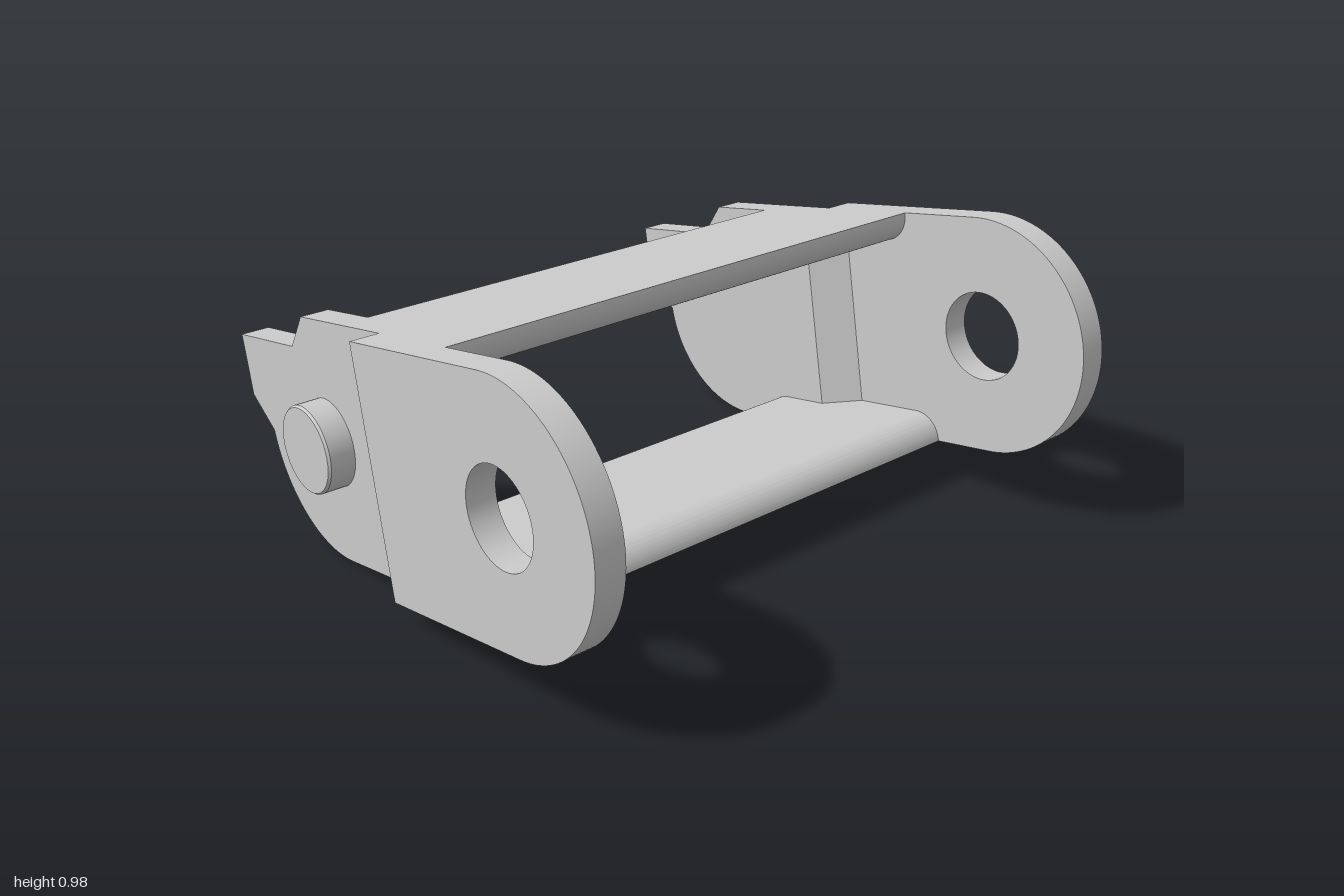
import * as THREE from 'three';
import { toCreasedNormals } from 'three/addons/utils/BufferGeometryUtils.js';

const R = 0.392;        // end radius of the side plates
const T = 0.095;        // plate thickness
const X = 0.905;        // joint plane between inner and outer plates
const SPAN = 1.048;     // distance between pin and hole centres
const TILT = Math.atan2(0.195, 1.03);

const material = new THREE.MeshStandardMaterial({ color: 0xcccccc });

// Extrude a (z, y) outline along x, between x0 and x1
function extrudeX(shape, x0, x1) {
  const geo = new THREE.ExtrudeGeometry(shape, { depth: x1 - x0, bevelEnabled: false, curveSegments: 32 });
  return geo.rotateY(-Math.PI / 2).translate(x1, 0, 0);
}

function part(name, geo) {
  const mesh = new THREE.Mesh(toCreasedNormals(geo, 0.5), material);
  mesh.name = name;
  return mesh;
}

// Front lug with the pin hole
function outerPlateShape() {
  const s = new THREE.Shape();
  s.moveTo(0.415, -R);
  s.lineTo(SPAN, -R);
  s.absarc(SPAN, 0, R, -Math.PI / 2, Math.PI / 2, false);
  s.lineTo(0.415, R);
  s.closePath();
  const hole = new THREE.Path();
  hole.absarc(SPAN, 0, 0.147, 0, Math.PI * 2, true);
  s.holes.push(hole);
  return s;
}

// Rear lug with the notched stop
function innerPlateShape() {
  const s = new THREE.Shape();
  s.moveTo(0.49, -R);
  s.lineTo(0.49, R);
  s.lineTo(-0.054, R);
  s.lineTo(-0.149, 0.288);
  s.lineTo(-0.5, 0.288);
  s.lineTo(-0.498, 0.084);
  s.lineTo(-0.391, -0.023);
  s.absarc(0, 0, R, Math.PI + 0.06, Math.PI * 1.5, false);
  s.closePath();
  return s;
}

// Cross bar section: sharp outer corners, rounded inner corners
function barShape(half, dir) {
  const r = 0.09, c = 0.475, s = new THREE.Shape();
  const y = R - T, k = y + r;
  s.moveTo(c - half, R);
  s.lineTo(c - half, k);
  s.absarc(c - half + r, k, r, Math.PI, Math.PI * 1.5, false);
  s.lineTo(c + half - r, y);
  s.absarc(c + half - r, k, r, -Math.PI / 2, 0, false);
  s.lineTo(c + half, R);
  s.closePath();
  if (dir > 0) return s;
  return new THREE.Shape(s.getPoints(16).map(p => new THREE.Vector2(p.x, -p.y)).reverse());
}

export function createModel() {
  const root = new THREE.Group();
  root.name = 'chainLink';
  const link = new THREE.Group();
  link.name = 'tiltedLink';
  link.position.set(0, 0.4, -0.435);
  link.rotation.x = -TILT;
  root.add(link);

  for (const side of [1, -1]) {
    const label = side > 0 ? 'left' : 'right';
    const range = (a, b) => (side > 0 ? [a, b] : [-b, -a]);

    link.add(part(label + 'OuterPlate', extrudeX(outerPlateShape(), ...range(X, 1))));

    // The front edge of the inner plate slants back towards the inside
    const inner = extrudeX(innerPlateShape(), ...range(X - T, X));
    const p = inner.attributes.position;
    for (let i = 0; i < p.count; i++) {
      if (p.getZ(i) > 0.45 && Math.abs(p.getX(i)) < X - T / 2) p.setZ(i, 0.385);
    }
    link.add(part(label + 'InnerPlate', inner));

    // Pin stub with a softened rim
    const profile = [[0, 0], [0.142, 0], [0.142, 0.082], [0.136, 0.09], [0, 0.09]]
      .map(([a, b]) => new THREE.Vector2(a, b));
    const pin = new THREE.LatheGeometry(profile, 48).rotateZ(-side * Math.PI / 2).translate(side * X, 0, 0);
    link.add(part(label + 'Pin', pin));
  }

  link.add(part('upperCrossBar', extrudeX(barShape(0.2875, 1), -X, X)));
  link.add(part('lowerCrossBar', extrudeX(barShape(0.357, -1), -X, X)));
  return root;
}
